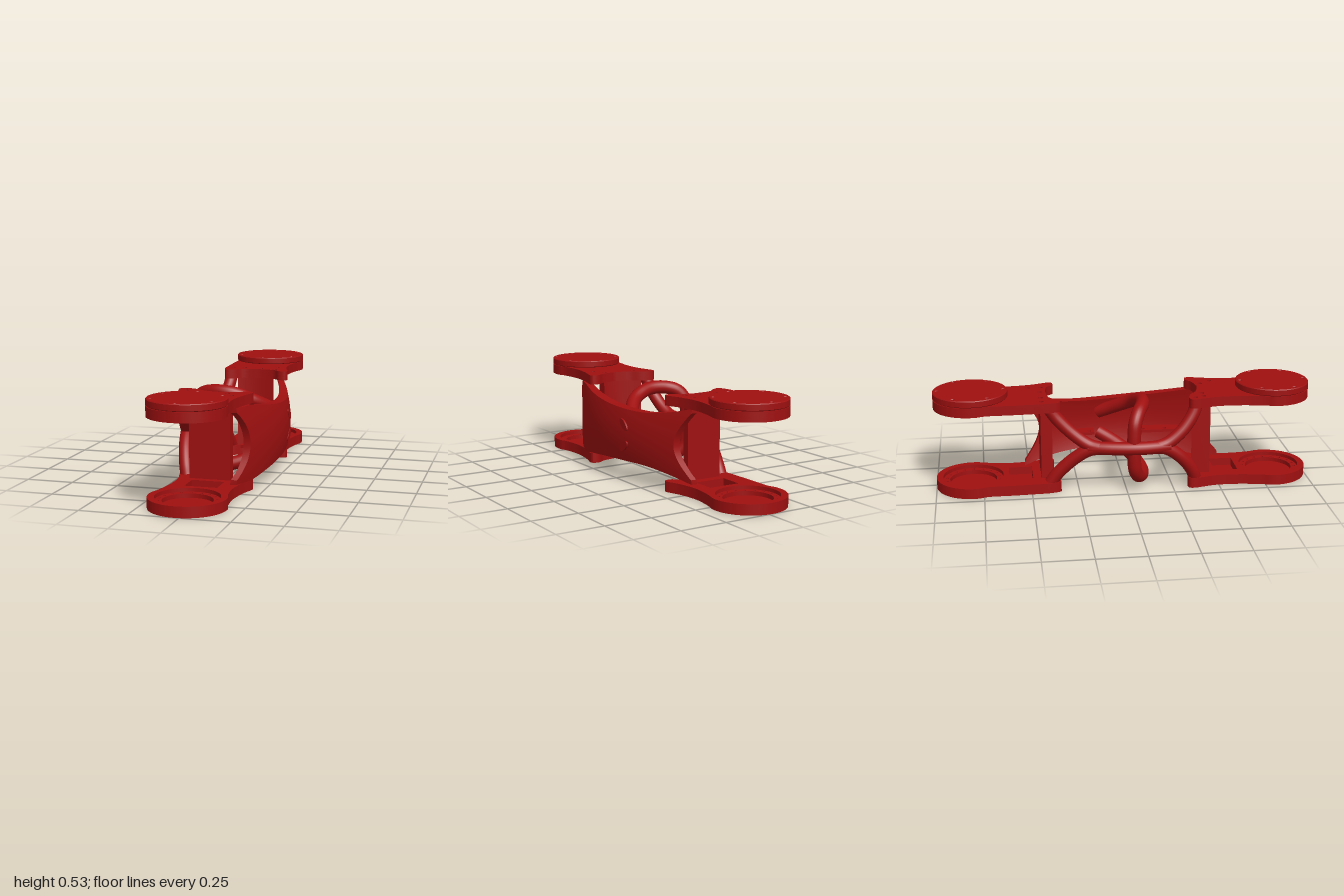
import * as THREE from 'three';
import { toCreasedNormals } from 'three/addons/utils/BufferGeometryUtils.js';

const CX = -0.02, CZ = 0.805, MID = 0.25;
const red = new THREE.MeshStandardMaterial({ color: 0xa01010 });

function add(parent, name, geometry) {
  const mesh = new THREE.Mesh(geometry, red);
  mesh.name = name;
  parent.add(mesh);
  return mesh;
}

// Extrude a plan shape (x, z) upward from y0 to y1
function slab(shape, y0, y1, bevel = 0) {
  const g = new THREE.ExtrudeGeometry(shape, {
    depth: y1 - y0 - 2 * bevel, curveSegments: 40, bevelEnabled: bevel > 0,
    bevelSize: bevel, bevelThickness: bevel, bevelOffset: -bevel, bevelSegments: 1,
  });
  g.rotateX(Math.PI / 2).translate(0, y1 - bevel, 0);
  return toCreasedNormals(g, 0.5);
}

// Plan points for one end, kept counter-clockwise when mirrored
function vecs(pts, end) {
  const v = pts.map(([x, z]) => new THREE.Vector2(x, z * end));
  return end < 0 ? v.reverse() : v;
}
const hole = (x, z, r) => new THREE.Path().absarc(x, z, r, 0, Math.PI * 2, true);

// Each plate: neck right, neck left and concave inner edge; z measured from the middle
const ends = [
  {
    name: 'front', end: 1,
    right: [[0.02, 0.405], [0.1, 0.39], [0.15, 0.36], [0.19, 0.38], [0.165, 0.48], [0.148, 0.6]],
    left: [[-0.178, 0.6], [-0.178, 0.48], [-0.205, 0.36], [-0.18, 0.33], [-0.12, 0.345], [-0.06, 0.385], [0.02, 0.405]],
    screws: [[-0.168, 0.365], [-0.15, 0.41], [-0.1, 0.41], [0.07, 0.43], [0.11, 0.49]],
    column: [[-0.125, 0.355], [-0.06, 0.39], [0.02, 0.41], [0.09, 0.4], [0.09, 0.455], [-0.125, 0.455]],
  },
  {
    name: 'back', end: -1,
    right: [[0.02, 0.41], [0.1, 0.4], [0.14, 0.365], [0.185, 0.38], [0.155, 0.48], [0.14, 0.6]],
    left: [[-0.195, 0.6], [-0.19, 0.48], [-0.185, 0.4], [-0.165, 0.345], [-0.12, 0.36], [-0.07, 0.4], [0.02, 0.41]],
    screws: [[-0.145, 0.44], [-0.08, 0.44], [0.02, 0.44], [0.1, 0.43], [0.1, 0.5]],
    column: [[-0.105, 0.385], [-0.07, 0.405], [0.02, 0.415], [0.09, 0.405], [0.09, 0.445], [-0.105, 0.445]],
  },
];

function plateShape({ end, right, left }) {
  const pts = [...right];
  for (let k = 0; k <= 12; k++) {
    const a = THREE.MathUtils.degToRad(-25 + (230 * k) / 12);
    pts.push([CX + 0.195 * Math.cos(a), CZ + 0.195 * Math.sin(a)]);
  }
  const v = vecs([...pts, ...left], end);
  return new THREE.Shape(new THREE.SplineCurve(v).getPoints(110).slice(0, -1));
}

// Plate in three layers: drilled skin, bolt ledge, open rim; outer face at y, growing by dir
function buildPlate(spec, y, dir, thickness) {
  const group = new THREE.Group();
  const { end } = spec;
  const bolts = (shape) => {
    for (let k = 0; k < 18; k++) {
      const a = (k * Math.PI) / 9;
      shape.holes.push(hole(CX + 0.142 * Math.cos(a), end * CZ + 0.142 * Math.sin(a), 0.007));
    }
  };
  const pocket = (shape) => shape.holes.push(
    new THREE.Path(vecs([[-0.1, 0.49], [0.07, 0.49], [0.07, 0.615], [-0.1, 0.615]], end)));
  const skin = plateShape(spec), ledge = plateShape(spec), rim = plateShape(spec);
  spec.screws.forEach(([x, z]) => skin.holes.push(hole(x, z * end, 0.012)));
  bolts(skin);
  ledge.holes.push(hole(CX, end * CZ, 0.125));
  bolts(ledge);
  pocket(ledge);
  rim.holes.push(hole(CX, end * CZ, 0.16));
  pocket(rim);
  [[skin, 0, 0.25, 'plateSkin'], [ledge, 0.25, 0.65, 'boltLedge'], [rim, 0.65, 1, 'plateRim']]
    .forEach(([shape, a, b, name]) => {
      const ya = y + dir * a * thickness, yb = y + dir * b * thickness;
      add(group, name, slab(shape, Math.min(ya, yb), Math.max(ya, yb)));
    });
  return group;
}

// Bowed side shell with a waist and scooped ends, as a closed skin
function shellX(z, t) {
  return 0.272 - 0.42 * (z - 0.04) ** 2 - 0.018 * t * t;
}
function shellGeometry() {
  const N = 32, U = 48, M = 2 * (N + 1), pos = [], idx = [];
  for (let i = 0; i <= U; i++) {
    for (let k = 0; k < M; k++) {
      const outer = k <= N, j = outer ? k : M - 1 - k;
      const t = (2 * j) / N - 1;
      const scoop = 0.085 * Math.min(1, (t / 0.88) ** 2);
      const z = THREE.MathUtils.lerp(0.46 + scoop, -0.44 - scoop, i / U);
      const d = z + 0.18;
      const h = 0.137 + 0.056 * Math.min(1, (d / (d > 0 ? 0.6 : 0.34)) ** 2);
      const wall = 0.032 + 0.025 * Math.max(0, 1 - (z / 0.5) ** 2);
      pos.push(shellX(z, t) - (outer ? 0 : wall), MID + t * h, z);
    }
  }
  for (let i = 0; i < U; i++) {
    for (let k = 0; k < M; k++) {
      const a = i * M + k, b = i * M + ((k + 1) % M), c = a + M, d = b + M;
      idx.push(a, c, b, b, c, d);
    }
  }
  const L = U * M;
  for (let j = 0; j < N; j++) {
    const p = M - 1 - j, q = p - 1;
    idx.push(j, j + 1, p, j + 1, q, p);
    idx.push(L + j, L + p, L + j + 1, L + j + 1, L + p, L + q);
  }
  const g = new THREE.BufferGeometry();
  g.setAttribute('position', new THREE.Float32BufferAttribute(pos, 3));
  g.setIndex(idx);
  return toCreasedNormals(g, 0.6);
}

function tube(points, r, segments) {
  const curve = new THREE.CatmullRomCurve3(points.map((p) => new THREE.Vector3(...p)), false, 'centripetal');
  return new THREE.TubeGeometry(curve, segments, r, 20);
}

export function createModel() {
  const model = new THREE.Group();
  model.name = 'armLink';

  ends.forEach((spec) => {
    const { name, end } = spec;
    const lower = buildPlate(spec, 0, 1, 0.055);
    lower.name = name + 'LowerPlate';
    const upper = buildPlate(spec, 0.496, -1, 0.051);
    upper.name = name + 'UpperPlate';
    model.add(lower, upper);

    // Round cap with six screw holes
    const cap = new THREE.Shape().absarc(CX, end * CZ, 0.195, 0, Math.PI * 2);
    for (let k = 0; k < 6; k++) {
      const a = Math.PI / 2 + (k * Math.PI) / 3;
      cap.holes.push(hole(CX + 0.173 * Math.cos(a), end * CZ + 0.173 * Math.sin(a), 0.009));
    }
    add(model, name + 'Cap', slab(cap, 0.497, 0.533, 0.004));

    // Wall joining the two plates
    add(model, name + 'Column', slab(new THREE.Shape(vecs(spec.column, end)), 0.04, 0.456));
  });

  add(model, 'sideShell', shellGeometry());

  // Oblique fastener seats on the shell
  [-1, 1].forEach((s) => {
    const seat = add(model, 'fastenerSeat', new THREE.CylinderGeometry(1, 1, 0.02, 24));
    seat.scale.set(0.02, 1, 0.042);
    seat.rotation.set(-s * 0.65, 0, Math.PI / 2);
    seat.position.set(shellX(-0.1, 0.4) - 0.005, MID + s * 0.057, -0.1);
  });

  // Hoop from the shell over the top, down the left side and back below
  const half = [[0.215, 0.06, -0.11], [0.17, 0.1, -0.03], [0.1, 0.15, 0.055], [0.03, 0.182, 0.088],
    [-0.03, 0.195, 0.1], [-0.11, 0.195, 0.09], [-0.175, 0.175, 0.062], [-0.21, 0.13, 0.042], [-0.22, 0.07, 0.035]];
  const up = half.map(([x, h, z]) => [x, MID + h, z]);
  const down = half.map(([x, h, z]) => [x, MID - h, z]).reverse();
  add(model, 'hoop', tube([...up, ...down], 0.036, 120));

  // Spine along the left side, forking to the upper and lower plate corners
  add(model, 'spine', tube([[-0.19, MID, -0.2], [-0.22, MID, -0.09], [-0.238, MID, 0.04], [-0.232, MID, 0.14], [-0.216, MID, 0.22]], 0.035, 40));
  [-1, 1].forEach((s) => {
    add(model, 'frontLeg', tube([[-0.165, MID + s * 0.205, 0.37], [-0.178, MID + s * 0.155, 0.35], [-0.2, MID + s * 0.075, 0.29], [-0.217, MID + s * 0.015, 0.21], [-0.23, MID, 0.15]], 0.034, 40));
    add(model, 'backLeg', tube([[-0.145, MID + s * 0.205, -0.4], [-0.15, MID + s * 0.155, -0.365], [-0.168, MID + s * 0.07, -0.28], [-0.19, MID + s * 0.015, -0.2], [-0.208, MID, -0.14]], 0.034, 40));
  });

  // Drilled tabs on the inside of the shell
  [[0.1, 0.37, [0.13, 0.25, 0.345]], [-0.23, -0.14, [-0.165]]].forEach(([z0, z1, holes]) => {
    const tab = new THREE.Shape(vecs([[0.12, z0], [0.2, z0], [0.2, z1], [0.12, z1]], 1));
    holes.forEach((z) => tab.holes.push(hole(0.142, z, 0.01)));
    add(model, 'mountingTab', slab(tab, 0.207, 0.222));
  });

  return model;
}
